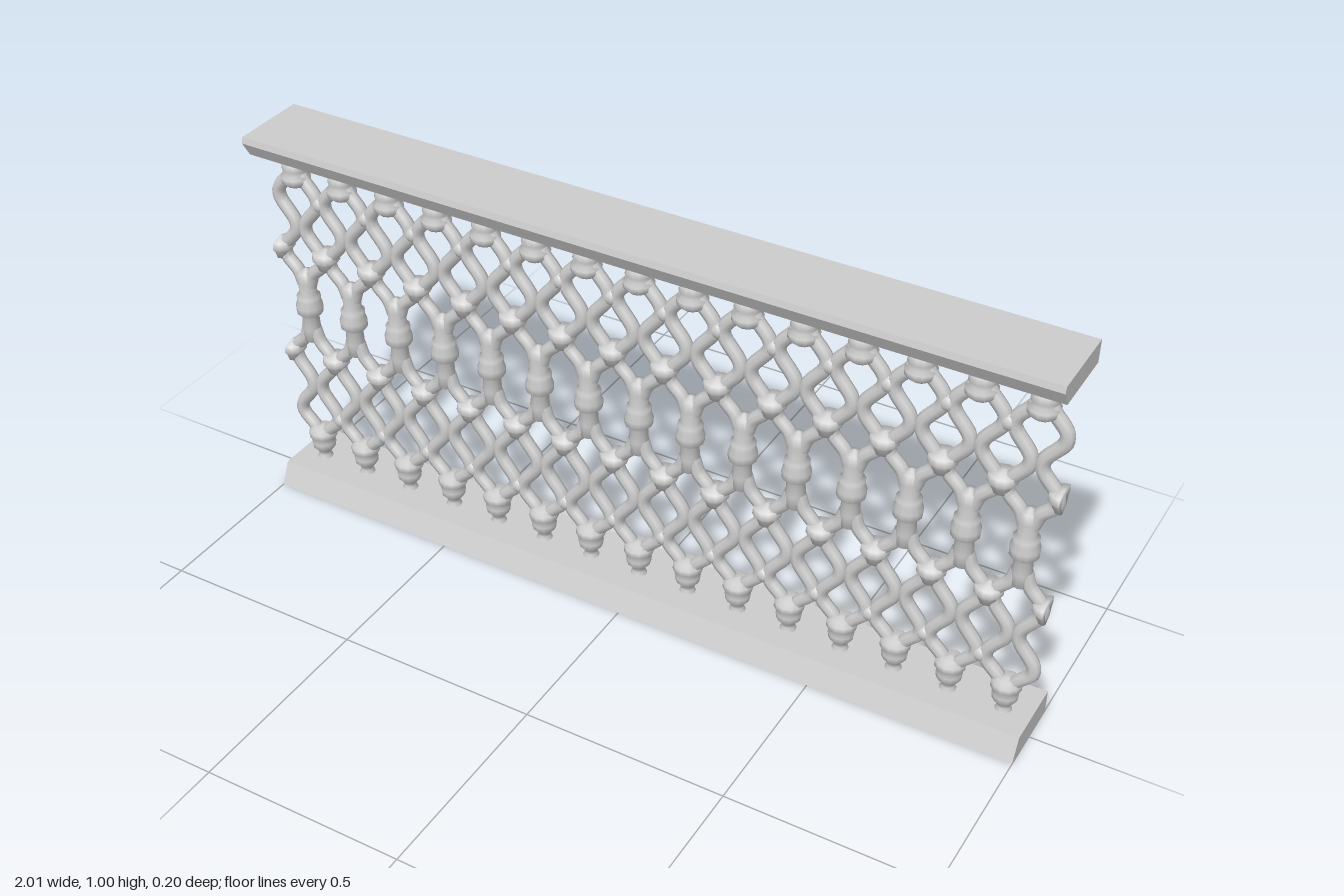
import * as THREE from 'three';

const PITCH = 2 / 15;
const material = new THREE.MeshStandardMaterial({ color: 0xcccccc, side: THREE.DoubleSide });

function add(parent, name, geometry, x = 0, y = 0, z = 0) {
  const mesh = new THREE.Mesh(geometry, material);
  mesh.name = name;
  mesh.position.set(x, y, z);
  parent.add(mesh);
  return mesh;
}

// Rail with a slanted front face, extruded along x; points are [z, y]
function railGeometry(points) {
  const shape = new THREE.Shape(points.map(([z, y]) => new THREE.Vector2(-z, y)));
  const geometry = new THREE.ExtrudeGeometry(shape, { depth: 2, bevelEnabled: false });
  return geometry.translate(0, 0, -1).rotateY(Math.PI / 2);
}

function lathe(points) {
  return new THREE.LatheGeometry(points.map(([r, y]) => new THREE.Vector2(r, y)), 12);
}

// Smooth strand that swings out to the neighbouring column and back
function strandGeometry(side, points) {
  const path = new THREE.CatmullRomCurve3(
    points.map(([x, y]) => new THREE.Vector3(side * x, y, 0)), false, 'centripetal');
  return new THREE.TubeGeometry(path, 36, 0.0165, 8);
}

export function createModel() {
  const model = new THREE.Group();
  model.name = 'balustrade';

  add(model, 'bottomRail', railGeometry([[0.098, 0], [0.072, 0.057], [-0.098, 0.057], [-0.098, 0]]));
  add(model, 'topRail', railGeometry([[0.093, 1], [0.097, 0.985], [0.074, 0.946], [-0.096, 0.946], [-0.098, 1]]));

  // Profiles shared by every column
  const foot = [[0.024, 0.05], [0.015, 0.066], [0.018, 0.077], [0.029, 0.09], [0.031, 0.105],
    [0.027, 0.116], [0.036, 0.124], [0.035, 0.138], [0.024, 0.148], [0, 0.152]];
  const footGeometry = lathe(foot);
  const headGeometry = lathe(foot.map(([r, y]) => [r, 1 - y]).reverse());
  const barGeometry = lathe([[0, 0.405], [0.02, 0.415], [0.023, 0.45], [0.021, 0.485], [0.033, 0.497],
    [0.034, 0.515], [0.029, 0.53], [0.03, 0.543], [0.022, 0.55], [0.023, 0.585], [0.02, 0.61], [0, 0.62]]);

  // Strand paths: x is the distance from the column's axis
  const lower = [[0.008, 0.12], [0.022, 0.145], [0.054, 0.18], [0.054, 0.205], [0.015, 0.262], [0.015, 0.29],
    [0.053, 0.345], [0.053, 0.378], [0.022, 0.415], [0.01, 0.45]];
  const upper = [[0.01, 0.575], [0.022, 0.608], [0.053, 0.642], [0.053, 0.67], [0.015, 0.722], [0.015, 0.748],
    [0.054, 0.803], [0.054, 0.828], [0.022, 0.868], [0.008, 0.89]];
  const strands = [1, -1].flatMap(side => [lower, upper].map(path => strandGeometry(side, path)));

  for (let i = -7; i <= 7; i++) {
    const column = new THREE.Group();
    column.name = 'column';
    column.position.x = i * PITCH;
    model.add(column);
    add(column, 'foot', footGeometry);
    add(column, 'head', headGeometry);
    add(column, 'bar', barGeometry);
    strands.forEach(geometry => add(column, 'latticeStrand', geometry));
  }

  // Knots where neighbouring columns meet; the end ones are cut flat
  for (let i = -7.5; i <= 7.5; i++) {
    for (const y of [0.36, 0.658]) {
      const geometry = lathe([[0, -0.032], [0.02, -0.02], [0.027, 0], [0.034, 0.008], [0.032, 0.026], [0, 0.036]]);
      geometry.translate(i * PITCH, y, 0);
      const p = geometry.attributes.position;
      for (let v = 0; v < p.count; v++) p.setX(v, THREE.MathUtils.clamp(p.getX(v), -1, 1));
      add(model, 'knot', geometry);
    }
    // Small welds at the plain crossings
    if (Math.abs(i) < 7) {
      for (const y of [0.192, 0.815]) {
        add(model, 'weld', new THREE.SphereGeometry(0.021, 10, 8), i * PITCH, y);
      }
    }
  }
  return model;
}
